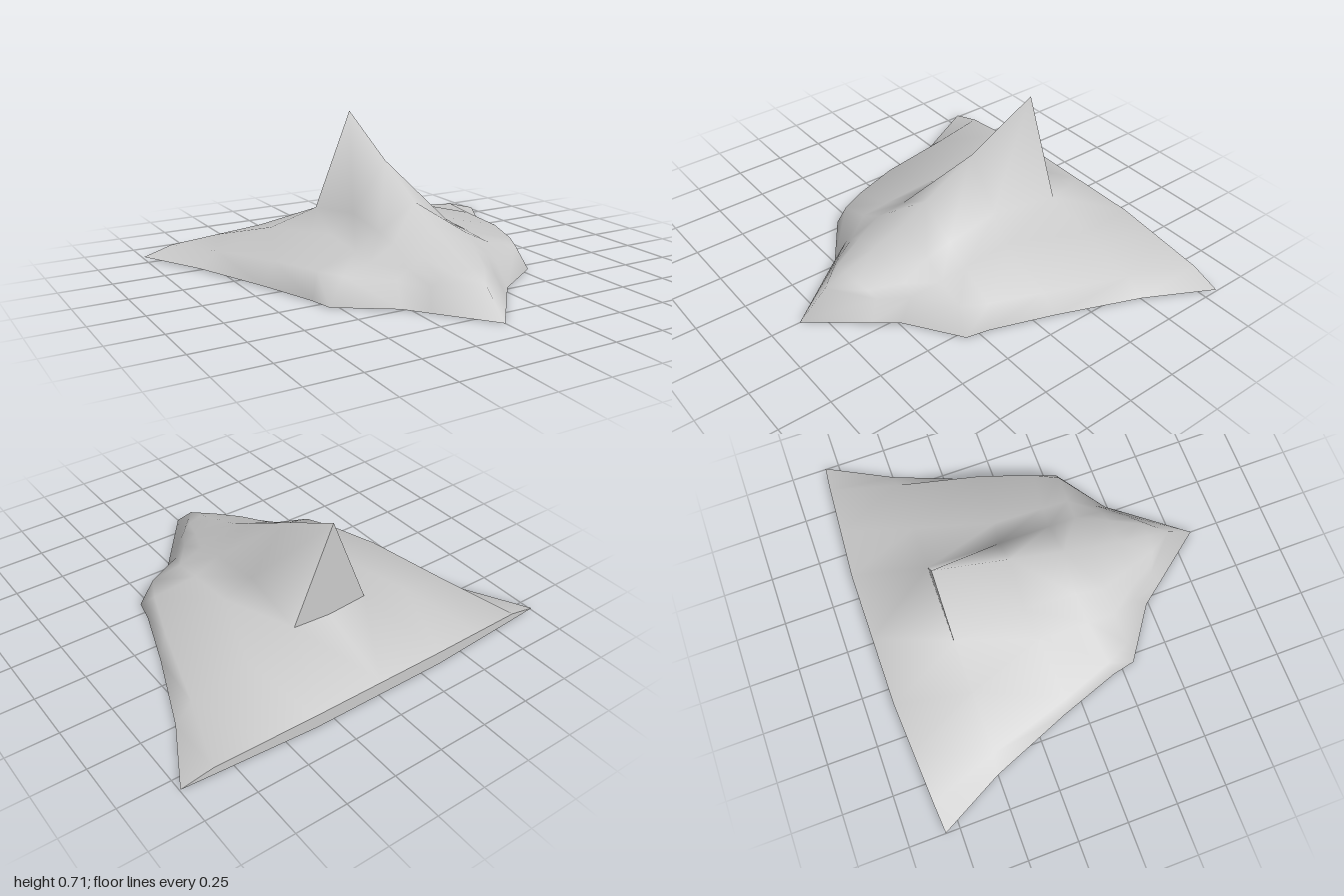
import * as THREE from 'three';
import { mergeVertices } from 'three/addons/utils/BufferGeometryUtils.js';

// Half cross-sections from nose to stern, each point x, y, z:
// spine, shoulder, mid deck, bevel top, rim
const SECTIONS = [
  [0, .13, .71, 0, .13, .71, 0, .13, .71, 0, .13, .71, 0, 0, .855],
  [0, .17, .60, .08, .155, .59, .13, .13, .57, .17, .10, .55, .20, 0, .60],
  [0, .23, .44, .14, .20, .43, .21, .155, .43, .27, .11, .42, .285, 0, .49],
  [0, .29, .28, .20, .225, .28, .32, .165, .29, .47, .13, .30, .54, 0, .315],
  [0, .37, .14, .19, .25, .14, .32, .18, .15, .53, .13, .18, .565, 0, .20],
  [0, .52, -.13, .18, .28, -.13, .32, .20, -.10, .62, .125, -.07, .67, 0, -.10],
  [0, .715, -.49, .20, .235, -.49, .45, .165, -.49, .74, .085, -.49, .83, 0, -.50],
  [0, .08, -.86, .35, .08, -.86, .60, .065, -.845, .85, .05, -.83, 1, 0, -.82],
];
const FIN_BASE = [0, .22, -.49];
const FIN_ROW = 6;

// The rim rises very slightly towards the stern
const rimHeight = (z) => Math.max(0, .005 - .006 * z);

const rows = SECTIONS.map((s) => {
  const pts = [];
  for (let i = 0; i < s.length; i += 3) pts.push(s.slice(i, i + 3));
  pts[4][1] = rimHeight(pts[4][2]);
  return pts;
});

const material = new THREE.MeshStandardMaterial({ color: 0xcccccc, side: THREE.DoubleSide });

// Smooth mesh from triangles of the +x half, mirrored to -x
function mirroredMesh(name, triangles) {
  const positions = [];
  for (const [a, b, c] of triangles) {
    positions.push(...a, ...b, ...c);
    for (const [x, y, z] of [a, c, b]) positions.push(x === 0 ? 0 : -x, y, z);
  }
  const soup = new THREE.BufferGeometry();
  soup.setAttribute('position', new THREE.Float32BufferAttribute(positions, 3));
  const geometry = mergeVertices(soup);
  geometry.computeVertexNormals();
  const mesh = new THREE.Mesh(geometry, material);
  mesh.name = name;
  return mesh;
}

// Upper hull with the fin rising out of the spine
function upperHull() {
  const triangles = [];
  for (let i = 0; i < rows.length - 1; i++) {
    for (let j = 0; j < 4; j++) {
      const a = i === FIN_ROW && j === 0 ? FIN_BASE : rows[i][j];
      const b = rows[i][j + 1], c = rows[i + 1][j], d = rows[i + 1][j + 1];
      if (i > 0 || j === 3) triangles.push([a, b, c]);
      triangles.push([b, d, c]);
    }
  }
  return mirroredMesh('upperHull', triangles);
}

// Upright back of the fin
function finBack() {
  const [tip, base] = rows[FIN_ROW];
  return mirroredMesh('finBack', [[tip, base, FIN_BASE]]);
}

// Narrow wall closing the stern
function sternWall() {
  const top = rows[rows.length - 1];
  const bottom = top.map(([x, , z]) => [x, rimHeight(z), z]);
  const triangles = [];
  for (let j = 0; j < 4; j++) {
    triangles.push([top[j], top[j + 1], bottom[j]]);
    if (j < 3) triangles.push([top[j + 1], bottom[j + 1], bottom[j]]);
  }
  return mirroredMesh('sternWall', triangles);
}

// Closed symmetric outline from its +x half
function symmetricLoop(half) {
  const left = half.filter(([x]) => x > 0).map(([x, z]) => [-x, z]).reverse();
  return [...half, ...left].map(([x, z]) => new THREE.Vector2(x, z));
}

// Flat underside with a large opening into the hollow hull
function underside() {
  const rim = rows.map((r) => [r[4][0], r[4][2]]);
  const stern = rows[rows.length - 1].slice(0, 4).reverse().map(([x, , z]) => [x, z]);
  const shape = new THREE.Shape(symmetricLoop([...rim, ...stern]));
  shape.holes.push(new THREE.Path(symmetricLoop([[.17, .25], [.355, .13], [.54, -.28], [.42, -.49]])));
  const geometry = new THREE.ShapeGeometry(shape);
  geometry.rotateX(Math.PI / 2);
  const p = geometry.attributes.position;
  for (let i = 0; i < p.count; i++) p.setY(i, rimHeight(p.getZ(i)));
  geometry.computeVertexNormals();
  const mesh = new THREE.Mesh(geometry, material);
  mesh.name = 'underside';
  return mesh;
}

export function createModel() {
  const model = new THREE.Group();
  model.name = 'wingedHull';
  model.add(upperHull(), finBack(), sternWall(), underside());
  return model;
}
